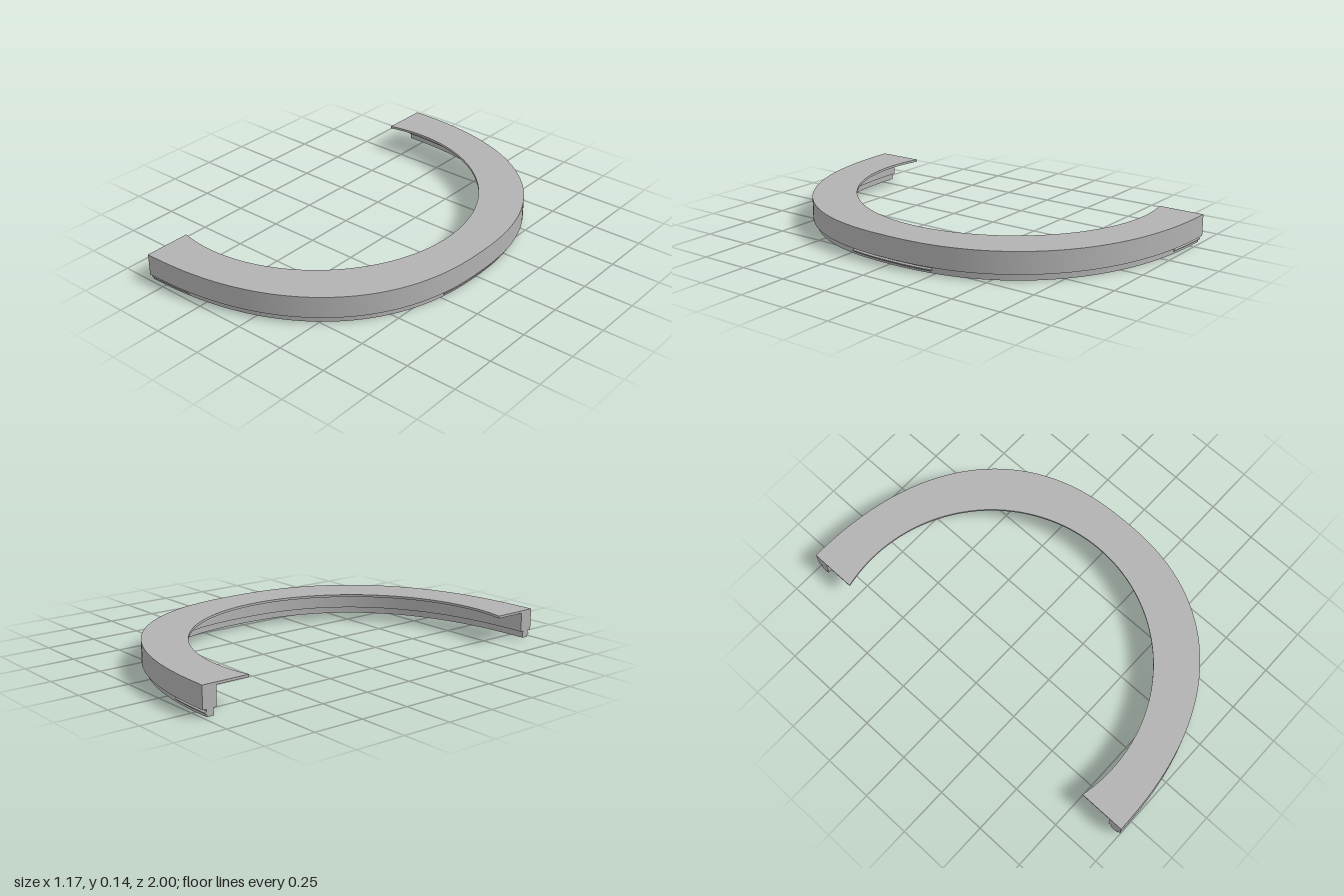
import * as THREE from 'three';
import { toCreasedNormals } from 'three/addons/utils/BufferGeometryUtils.js';

const END_X = -0.583, REACH = 1.166, POWER = 2.33; // outer rim: half a superellipse
const HOLE_X = -0.4, HOLE_R = 0.785;               // inner rim: circular arc
const TOP = 0.142, PLATE = 0.012, STEP = 0.034;

// Point on the rim at angle t, moved inward along the normal by inset
function rimPoint(t, inset, y) {
  const c = Math.max(0, Math.cos(t)), s = Math.sin(t);
  const u = Math.pow(c, 2 / POWER), w = Math.sign(s) * Math.pow(Math.abs(s), 2 / POWER);
  let nx = Math.pow(u, POWER - 1) / REACH;
  let nz = Math.sign(w) * Math.pow(Math.abs(w), POWER - 1);
  const len = Math.hypot(nx, nz);
  return [END_X + REACH * u - inset * nx / len, y, w - inset * nz / len];
}

// Sweep a convex profile of [inset, y] points along part of the rim, with end caps
function sweep(profile, from, to, steps) {
  const pos = [], n = profile.length;
  const p = (i, j) => rimPoint(from + (to - from) * i / steps, ...profile[j % n]);
  const tri = (a, b, c) => pos.push(...a, ...b, ...c);
  for (let i = 0; i < steps; i++) {
    for (let j = 0; j < n; j++) {
      const a = p(i, j), b = p(i, j + 1), c = p(i + 1, j + 1), d = p(i + 1, j);
      tri(a, b, c);
      tri(a, c, d);
    }
  }
  for (let j = 1; j < n - 1; j++) {
    tri(p(0, 0), p(0, j + 1), p(0, j));
    tri(p(steps, 0), p(steps, j), p(steps, j + 1));
  }
  const g = new THREE.BufferGeometry();
  g.setAttribute('position', new THREE.Float32BufferAttribute(pos, 3));
  return toCreasedNormals(g, 0.4);
}

const band = (i0, i1, y0, y1) => [[i0, y0], [i0, y1], [i1, y1], [i1, y0]];

export function createModel() {
  const group = new THREE.Group();
  const grey = new THREE.MeshStandardMaterial({ color: 0xb2b2b2 });
  grey.name = 'grey';
  const add = (name, geometry) => {
    const mesh = new THREE.Mesh(geometry, grey);
    mesh.name = name;
    group.add(mesh);
  };
  const H = Math.PI / 2, STEPS = 96;

  // Flat C-shaped top plate
  const shape = new THREE.Shape();
  for (let i = 0; i <= STEPS; i++) {
    const [x, , z] = rimPoint(-H + Math.PI * i / STEPS, 0, 0);
    if (i) shape.lineTo(x, z); else shape.moveTo(x, z);
  }
  const end = Math.acos((END_X - HOLE_X) / HOLE_R);
  for (let i = 0; i <= STEPS; i++) {
    const a = end - 2 * end * i / STEPS;
    shape.lineTo(HOLE_X + HOLE_R * Math.cos(a), HOLE_R * Math.sin(a));
  }
  const plate = new THREE.ExtrudeGeometry(shape, { depth: PLATE, bevelEnabled: false });
  plate.rotateX(-H).translate(0, TOP - PLATE, 0);
  add('topPlate', toCreasedNormals(plate, 0.4));

  // Outer wall and the inset lip below it
  add('outerWall', sweep(band(0, 0.07, STEP, TOP - PLATE), -H, H, STEPS));
  add('lowerLip', sweep(band(0.02, 0.055, 0, STEP), -H, H, STEPS));

  // Pointed snap ridges on the lip: both ends and the middle
  const ridge = [[0.021, 0.009], [0.011, 0.015], [0.011, 0.019], [0.021, 0.025]];
  add('rearSnapRidge', sweep(ridge, -H, -1.414, 16));
  add('sideSnapRidge', sweep(ridge, -0.187, 0.187, 20));
  add('frontSnapRidge', sweep(ridge, 1.414, H, 16));
  return group;
}
